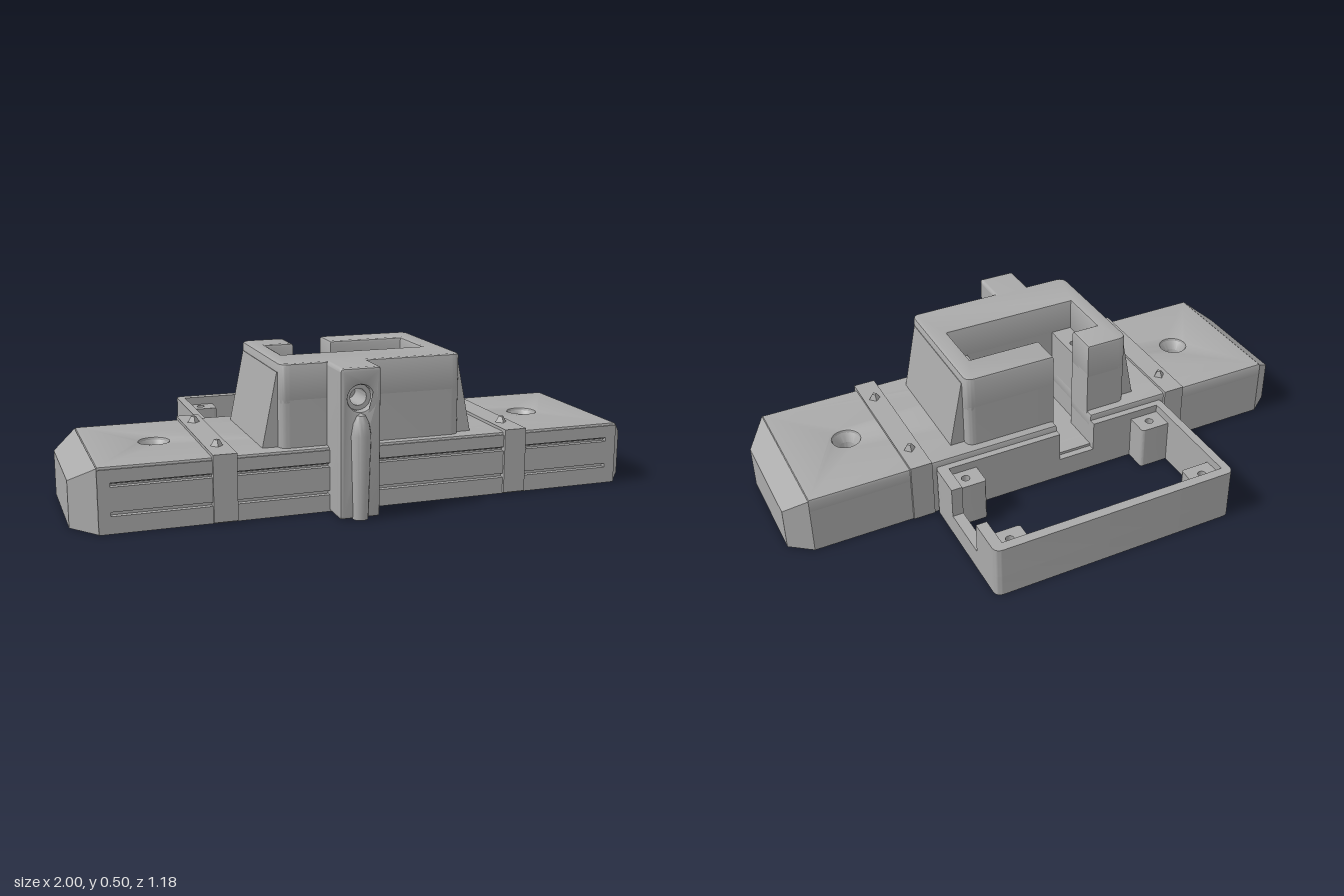
import * as THREE from 'three';
import { toCreasedNormals } from 'three/addons/utils/BufferGeometryUtils.js';

const grey = new THREE.MeshStandardMaterial({ color: 0xa9a9a9, side: THREE.DoubleSide });
grey.name = 'plain grey';

// Polygon from [x, y, cornerRadius?] points
function outline(pts) {
  const s = new THREE.Shape();
  const n = pts.length;
  pts.forEach((p, i) => {
    const c = new THREE.Vector2(p[0], p[1]);
    const a = pts[(i + n - 1) % n], b = pts[(i + 1) % n], r = p[2] || 0;
    const toward = q => new THREE.Vector2(q[0], q[1]).sub(c).setLength(r).add(c);
    const p0 = r ? toward(a) : c, p1 = r ? toward(b) : c;
    if (i === 0) s.moveTo(p0.x, p0.y); else s.lineTo(p0.x, p0.y);
    if (r) s.quadraticCurveTo(c.x, c.y, p1.x, p1.y);
  });
  s.closePath();
  return s;
}
const rect = (x0, y0, x1, y1, r = 0) => outline([[x0, y0, r], [x1, y0, r], [x1, y1, r], [x0, y1, r]]);
const circle = (x, y, r) => new THREE.Path().absarc(x, y, r, 0, Math.PI * 2, false);

function extrude(shape, holes, depth, bevel) {
  shape.holes.push(...holes);
  return new THREE.ExtrudeGeometry(shape, {
    depth, curveSegments: 10, bevelEnabled: bevel > 0, bevelSize: bevel,
    bevelThickness: bevel, bevelOffset: -bevel, bevelSegments: 2,
  });
}

export function createModel() {
  const model = new THREE.Group();
  model.name = 'mountingBracket';

  function add(name, geo, crease = 0.6) {
    const m = new THREE.Mesh(toCreasedNormals(geo, crease), grey);
    m.name = name;
    model.add(m);
    return m;
  }
  // Horizontal layer of an x-z shape between two heights; a bevelled layer sinks into the one below
  function layer(name, shape, y0, y1, holes = [], bevel = 0) {
    const geo = extrude(shape, holes, y1 - y0 - bevel, bevel);
    geo.rotateX(Math.PI / 2);
    geo.translate(0, y1 - bevel, 0);
    return add(name, geo);
  }
  function box(name, x0, y0, z0, x1, y1, z1) {
    const g = new THREE.BoxGeometry(x1 - x0, y1 - y0, z1 - z0);
    g.translate((x0 + x1) / 2, (y0 + y1) / 2, (z0 + z1) / 2);
    return add(name, g);
  }
  // Block with a central pit and a cable channel open to the back
  const cavity = (x0, z0, x1, z1, px0, px1, r = 0) => outline([
    [x0, z0, r], [-0.16, z0], [-0.16, 0.05], [px0, 0.05], [px0, 0.25], [px1, 0.25],
    [px1, 0.05], [-0.02, 0.05], [-0.02, z0], [x1, z0, r], [x1, z1, r], [x0, z1, r],
  ]);

  // Base, hollow under both wings
  const L = 0.92, back = -0.1, front = 0.437;
  const wings = () => [-1, 1].map(s => rect(...(s > 0 ? [0.42, -0.04, 0.89, 0.39] : [-0.89, -0.04, -0.42, 0.39]), 0.05));
  const slots = [rect(-0.25, -0.04, 0.25, 0.06, 0.03), rect(-0.25, 0.28, 0.25, 0.38, 0.03)];
  layer('baseBottom', rect(-L, back, L, front), 0, 0.05, [...wings(), ...slots]);
  layer('baseFloor', rect(-L, back, L, front), 0.05, 0.09, wings());
  layer('baseWalls', cavity(-L, back, L, front, -0.18, 0.175), 0.09, 0.17, wings());
  layer('baseTop', cavity(-L, back, L, 0.45, -0.18, 0.175), 0.17, 0.22,
    [circle(-0.69, 0.175, 0.05), circle(0.69, 0.175, 0.05)], 0.01);

  // Front skin with two long grooves
  const grooves = [0.065, 0.16].map(y => rect(-0.88, y - 0.007, 0.88, y + 0.007));
  const skin = extrude(rect(-L, 0, L, 0.21), grooves, 0.018, 0);
  skin.translate(0, 0, front);
  add('groovedFront', skin);

  for (const s of [-1, 1]) {
    // Tapered wing end
    const end = new THREE.BoxGeometry(0.08, 0.215, 0.55);
    end.translate(0.96, 0.1075, 0.175);
    const p = end.attributes.position;
    for (let i = 0; i < p.count; i++) {
      if (p.getX(i) > 0.97) {
        if (p.getY(i) > 0.1) p.setY(i, 0.157);
        p.setZ(i, p.getZ(i) > 0.1 ? 0.37 - s * 0.02 : -0.02 - s * 0.02);
      }
    }
    if (s < 0) end.rotateY(Math.PI).translate(0, 0, 0.35);
    if (s < 0) for (let i = 0; i < p.count; i++) p.setZ(i, p.getZ(i));
    add('wingEnd', end, 0.2);

    // Screw boss with countersunk hole
    const boss = new THREE.LatheGeometry(
      [[0.05, 0.21], [0.03, 0.18], [0.03, 0], [0.09, 0], [0.09, 0.19]].map(q => new THREE.Vector2(...q)), 28);
    boss.translate(s * 0.69, 0, 0.175);
    add('screwBoss', boss);

    // Strap over the base, with two pointed bolts
    const x = s * 0.515;
    box('strapTop', x - 0.04, 0.205, -0.11, x + 0.04, 0.23, 0.465);
    box('strapFront', x - 0.04, 0.005, 0.44, x + 0.04, 0.23, 0.465);
    box('strapBack', x - 0.04, 0.005, -0.11, x + 0.04, 0.23, -0.085);
    for (const z of [0, 0.35]) {
      const bolt = new THREE.CylinderGeometry(0.009, 0.022, 0.022, 4);
      bolt.translate(x, 0.24, z);
      add('strapBolt', bolt);
    }

    // Sloping buttress on the tower side
    const fin = extrude(outline([[s * 0.31, 0.21], [s * 0.375, 0.21], [s * 0.322, 0.47], [s * 0.31, 0.47]]), [], 0.43, 0);
    fin.translate(0, 0, -0.035);
    add('towerButtress', fin);
  }

  // Central tower with stepped pocket
  layer('towerLower', cavity(-0.32, -0.07, 0.32, 0.425, -0.18, 0.175, 0.035), 0.2, 0.38,
    [circle(-0.217, 0.145, 0.014), circle(0.212, 0.145, 0.014)]);
  layer('towerUpper', cavity(-0.32, -0.07, 0.32, 0.425, -0.26, 0.25, 0.035), 0.38 - 0.01, 0.5, [], 0.01);

  // Front column with counterbored hole
  const column = (z0, z1, r, bevel) => {
    const g = extrude(rect(-0.16, 0, -0.02, 0.5, 0.012), [circle(-0.09, 0.4, r)], z1 - z0 - 2 * bevel, bevel);
    g.translate(0, 0, z0 + bevel);
    add('frontColumn', g);
  };
  column(0.41, 0.53, 0.028, 0);
  column(0.515, 0.558, 0.043, 0.012);

  // Rounded rib running down the column
  const rib = new THREE.LatheGeometry(
    [[0, 0], [0.026, 0], [0.034, 0.28], [0.027, 0.32], [0.015, 0.345], [0, 0.352]].map(q => new THREE.Vector2(...q)), 20);
  rib.translate(-0.09, 0, 0.555);
  add('columnRib', rib);

  // Rear tray frame, notched on its left side and for the cable channel
  layer('frameLower', rect(-0.46, -0.59, 0.46, -0.09, 0.03), 0, 0.08, [rect(-0.43, -0.555, 0.42, -0.125)]);
  layer('frameUpperFront', outline([[0.46, -0.24], [0.46, -0.09, 0.03], [-0.02, -0.09], [-0.02, -0.125],
    [0.42, -0.125], [0.42, -0.24]]), 0.08, 0.195);
  layer('frameUpperBack', outline([[0.46, -0.44], [0.46, -0.59, 0.03], [-0.46, -0.59, 0.03], [-0.46, -0.09, 0.03],
    [-0.16, -0.09], [-0.16, -0.125], [-0.43, -0.125], [-0.43, -0.555], [0.42, -0.555], [0.42, -0.44]]), 0.08, 0.195);

  // Corner posts with screw holes
  for (const s of [-1, 1]) {
    for (const [z0, z1, hz] of [[-0.57, -0.472, -0.52], [-0.21, -0.11, -0.165]]) {
      const [x0, x1] = s > 0 ? [0.315, 0.44] : [-0.44, -0.32];
      layer('framePost', rect(x0, z0, x1, z1, 0.012), 0, 0.165, [circle(s * 0.375, hz, 0.015)]);
    }
  }
  return model;
}
